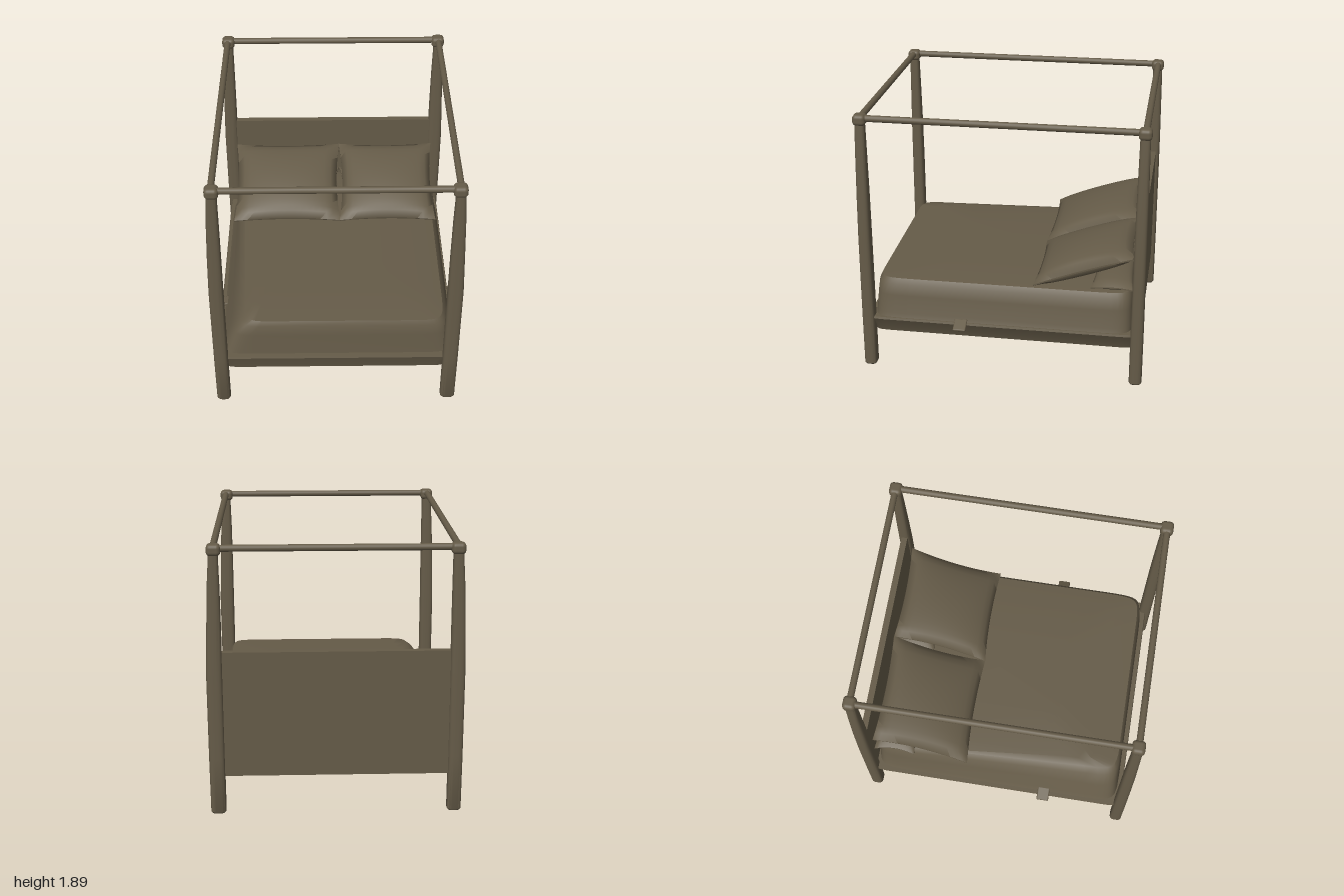
import * as THREE from 'three';
import { toCreasedNormals } from 'three/addons/utils/BufferGeometryUtils.js';
import { RoundedBoxGeometry } from 'three/addons/geometries/RoundedBoxGeometry.js';

const brown = new THREE.MeshStandardMaterial({ color: 0x655b48 });
brown.name = 'dark brown';

function add(parent, name, geometry, x = 0, y = 0, z = 0) {
  const mesh = new THREE.Mesh(geometry, brown);
  mesh.name = name;
  mesh.position.set(x, y, z);
  parent.add(mesh);
  return mesh;
}

// Closed solid through stacked rounded rectangles, listed upwards as [y, x0, x1, z0, z1].
// A lower "round" gives squarer corners; "rule" may nudge each point.
function loft(rings, round, n = 24, rule = () => {}, crease = 0.6) {
  const pos = [], idx = [], p = new THREE.Vector3();
  const bend = v => Math.sign(v) * Math.pow(Math.abs(v), round);
  rings.forEach(([y, x0, x1, z0, z1]) => {
    for (let j = 0; j < n; j++) {
      const t = ((j + 0.5) / n) * Math.PI * 2;
      p.set((x0 + x1) / 2 + bend(Math.cos(t)) * (x1 - x0) / 2, y,
        (z0 + z1) / 2 + bend(Math.sin(t)) * (z1 - z0) / 2);
      rule(p);
      pos.push(p.x, p.y, p.z);
    }
  });
  const last = rings.length - 1, low = rings.length * n, high = low + 1;
  for (const r of [rings[0], rings[last]]) pos.push((r[1] + r[2]) / 2, r[0], (r[3] + r[4]) / 2);
  for (let j = 0; j < n; j++) {
    const k = (j + 1) % n;
    for (let i = 0; i < last; i++) {
      const a = i * n + j, b = i * n + k;
      idx.push(a, a + n, b, b, a + n, b + n);
    }
    idx.push(low, j, k, high, last * n + k, last * n + j);
  }
  const g = new THREE.BufferGeometry();
  g.setAttribute('position', new THREE.Float32BufferAttribute(pos, 3));
  g.setIndex(idx);
  return toCreasedNormals(g, crease);
}

// Cushion with pinched edges, pointed corners and a full middle
function pillow(width, depth, thick) {
  const g = new THREE.BoxGeometry(2, 2, 2, 16, 1, 16);
  const p = g.attributes.position;
  for (let i = 0; i < p.count; i++) {
    const a = p.getX(i), b = p.getZ(i);
    const full = Math.pow((1 - a * a) * (1 - b * b), 0.45);
    p.setXYZ(i,
      a * (width / 2 - 0.025 * (1 - b * b)),
      Math.sign(p.getY(i)) * (0.005 + full * thick / 2),
      b * (depth / 2 - 0.02 * (1 - a * a)));
  }
  return toCreasedNormals(g, 0.9);
}

export function createModel() {
  const bed = new THREE.Group();
  bed.name = 'fourPosterBed';

  // Four posts, each narrowing outside towards the top, with a knob
  for (const side of [-1, 1]) {
    for (const end of [-1, 1]) {
      const left = side > 0;
      // [height, inner x, outer x, half depth]
      const profile = left
        ? [[0, 0.742, 0.828, 0.038], [0.012, 0.733, 0.838, 0.045], [0.4, 0.735, 0.842, 0.045], [1.0, 0.737, 0.845, 0.043],
          [1.3, 0.738, 0.835, 0.041], [1.6, 0.741, 0.824, 0.037], [1.84, 0.747, 0.808, 0.034]]
        : [[0, -0.798, -0.878, 0.038], [0.012, -0.79, -0.888, 0.045], [0.4, -0.79, -0.889, 0.045], [1.0, -0.788, -0.888, 0.043],
          [1.3, -0.786, -0.88, 0.041], [1.6, -0.785, -0.868, 0.037], [1.84, -0.785, -0.852, 0.034]];
      const z = end * 0.955;
      const rings = profile.map(([y, a, b, h]) => [y, Math.min(a, b), Math.max(a, b), z - h, z + h]);
      add(bed, 'post', loft(rings, 0.6));
      add(bed, 'postKnob', new RoundedBoxGeometry(0.094, 0.078, 0.09, 3, 0.027), left ? 0.775 : -0.818, 1.851, z);
    }
  }

  // Canopy rails
  for (const end of [-1, 1]) {
    const cross = add(bed, 'canopyCrossRail', new THREE.CylinderGeometry(0.023, 0.023, 1.58, 16), -0.02, 1.86, end * 0.957);
    cross.rotation.z = Math.PI / 2;
    const along = add(bed, 'canopySideRail', new THREE.CylinderGeometry(0.023, 0.023, 1.9, 16), end > 0 ? 0.78 : -0.823, 1.86, 0);
    along.rotation.x = Math.PI / 2;
  }

  // Bed base, wider at its upper edge
  add(bed, 'bedBase', loft([
    [0.26, -0.82, 0.77, -0.945, 0.925],
    [0.3, -0.835, 0.785, -0.95, 0.935],
    [0.375, -0.868, 0.83, -0.955, 0.96],
    [0.39, -0.862, 0.825, -0.955, 0.955]], 0.06));

  // Headboard
  add(bed, 'headboard', new THREE.BoxGeometry(1.6, 0.885, 0.045), -0.025, 0.7125, -0.948);

  // Mattress with a draped cover; the front right corner is tucked in
  add(bed, 'beddingCover', loft([
    [0.38, -0.845, 0.82, -0.92, 0.925],
    [0.42, -0.82, 0.805, -0.92, 0.92],
    [0.55, -0.79, 0.785, -0.915, 0.91],
    [0.63, -0.765, 0.765, -0.91, 0.902],
    [0.664, -0.735, 0.74, -0.9, 0.885],
    [0.674, -0.62, 0.63, -0.85, 0.72],
    [0.68, -0.3, 0.3, -0.6, 0.4]], 0.12, 40, p => {
    if (p.x < -0.6 && p.z > 0.6 && p.y > 0.5) p.x += 0.4 * (p.y - 0.5);
  }, 0.7));

  // Loose ends of the sheet at both sides
  for (const [x, z, tilt] of [[-0.862, 0.37, 0.3], [0.868, 0.28, -0.45]]) {
    const tab = add(bed, 'sheetEnd', new RoundedBoxGeometry(0.1, 0.018, 0.09, 2, 0.008), x, 0.395, z);
    tab.rotation.z = tilt;
  }

  // Two leaning pillows over two flat ones
  for (const [x, width] of [[-0.385, 0.82], [0.39, 0.74]]) {
    const top = add(bed, 'pillow', pillow(width, 0.73, 0.18), x, 0.815, -0.565);
    top.rotation.x = 0.34;
    add(bed, 'lowerPillow', pillow(width, 0.3, 0.1), x, 0.7, -0.77);
  }

  return bed;
}
